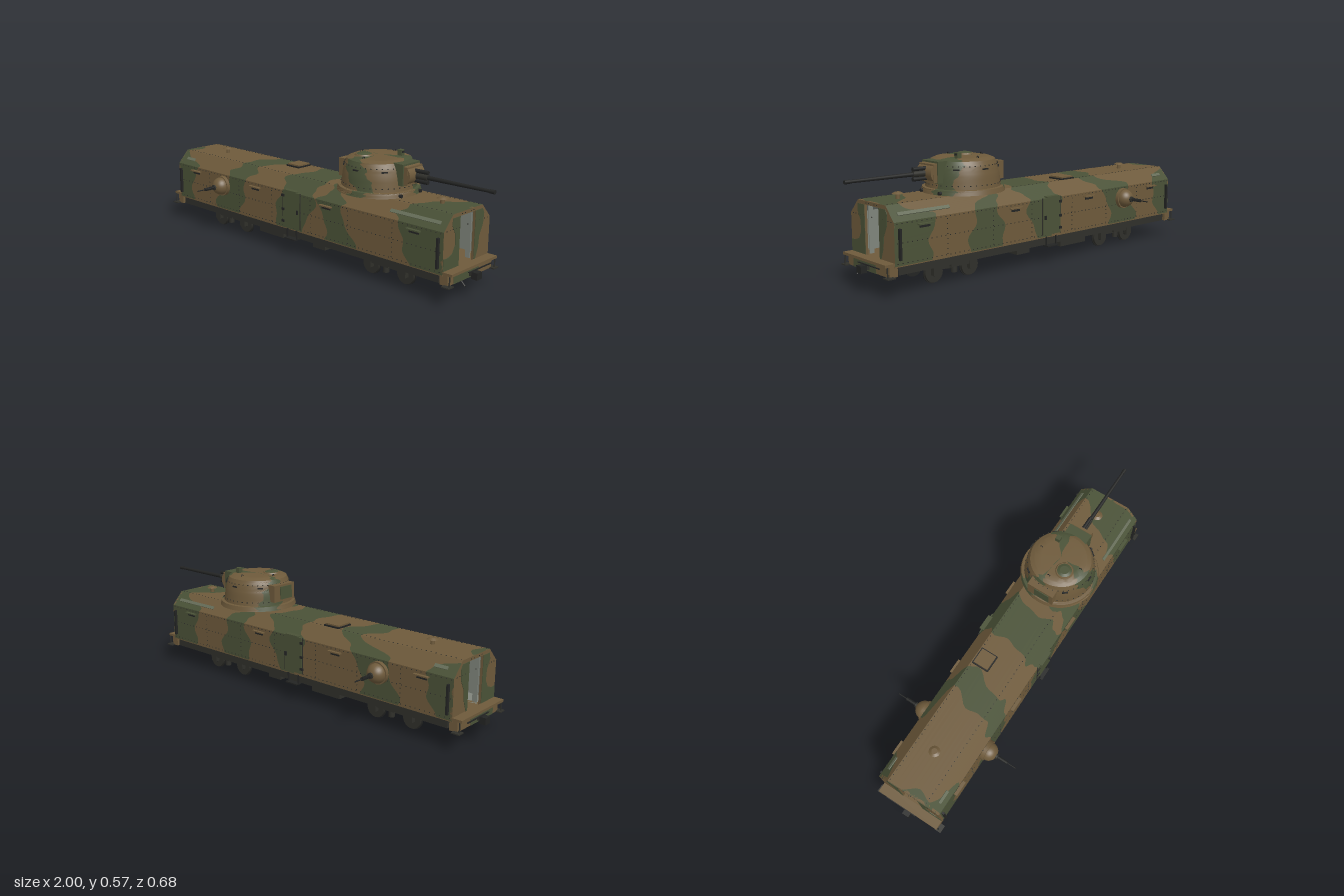
import * as THREE from 'three';
import { mergeGeometries, toCreasedNormals } from 'three/addons/utils/BufferGeometryUtils.js';

const paint = (name, color, side = THREE.FrontSide) => {
  const m = new THREE.MeshStandardMaterial({ color, side });
  m.name = name;
  return m;
};

export function createModel() {
  const brown = paint('camouflage brown', 0x6e5a3b, THREE.DoubleSide);
  const green = paint('camouflage green', 0x4a5237, THREE.DoubleSide);
  const dark = paint('dark iron', 0x2f2f2a);
  const black = paint('gun steel', 0x232423);
  const grey = paint('interior grey', 0x80857c, THREE.DoubleSide);
  const pale = paint('grille grey green', 0x666d58);

  const model = new THREE.Group();
  const add = (name, geo, mat, x = 0, y = 0, z = 0, parent = model) => {
    const m = new THREE.Mesh(geo, mat);
    m.name = name;
    m.position.set(x, y, z);
    parent.add(m);
    return m;
  };
  const box = (name, mat, x0, x1, y0, y1, z0, z1) =>
    add(name, new THREE.BoxGeometry(x1 - x0, y1 - y0, Math.abs(z1 - z0)), mat, (x0 + x1) / 2, (y0 + y1) / 2, (z0 + z1) / 2);
  const rod = (name, mat, axis, r0, r1, len, x, y, z, n = 16) => {
    const g = new THREE.CylinderGeometry(r1, r0, len, n);
    if (axis === 'x') g.rotateZ(-Math.PI / 2);
    if (axis === 'z') g.rotateX(Math.PI / 2);
    return add(name, g, mat, x, y, z);
  };

  // Two-colour skin: ribbons between wavy borders across a swept profile
  const along = (keys, t) => {
    const i = Math.min(Math.floor(t), keys.length - 2), f = t - i;
    return keys[i] + (keys[i + 1] - keys[i]) * f * f * (3 - 2 * f);
  };
  function camouflage(name, point, tMax, perSpan, uMin, uMax, borders, wobble, cuts, crease) {
    const edge = (k, t) => {
      if (k < 0) return uMin;
      if (k >= borders.length) return uMax;
      const v = along(borders[k], t);
      if (v <= uMin || v >= uMax) return v;
      return Math.min(uMax, Math.max(uMin, v + wobble * (Math.sin(t * 5.3 + k * 2) + 0.5 * Math.sin(t * 11 + k))));
    };
    const lists = [[], []];
    for (let k = 0; k <= borders.length; k++)
      for (let j = 0; j < tMax * perSpan; j++)
        for (let c = 0; c < cuts; c++) {
          const p = (dj, dc) => {
            const t = (j + dj) / perSpan, a = edge(k - 1, t), b = Math.max(a, edge(k, t));
            return point(t, a + (b - a) * (c + dc) / cuts);
          };
          const a = p(0, 0), b = p(0, 1), d = p(1, 1), e = p(1, 0);
          lists[k % 2].push(...a, ...b, ...d, ...a, ...d, ...e);
        }
    const geo = new THREE.BufferGeometry();
    geo.setAttribute('position', new THREE.Float32BufferAttribute([...lists[0], ...lists[1]], 3));
    geo.addGroup(0, lists[0].length / 3, 0);
    geo.addGroup(lists[0].length / 3, lists[1].length / 3, 1);
    add(name, toCreasedNormals(geo, crease), [brown, green]);
  }
  const onProfile = (prof, t) => {
    const i = Math.min(Math.floor(t), prof.length - 2), f = t - i;
    return [0, 1].map(n => prof[i][n] + (prof[i + 1][n] - prof[i][n]) * f);
  };

  // Hull: sides, chamfers and roof
  const X0 = -0.928, X1 = 0.874;
  const hull = [[0.135, 0.168], [0.322, 0.168], [0.387, 0.107], [0.387, -0.107], [0.322, -0.168], [0.135, -0.168]];
  camouflage('hull', (t, u) => { const [y, z] = onProfile(hull, t); return [u, y, z]; }, 5, 10, X0, X1, [
    [X0, X0, X0, X0, X0, X0], [-0.82, -0.77, -0.9, -0.92, -0.78, -0.84],
    [-0.6, -0.5, -0.46, -0.4, -0.6, -0.64], [-0.42, -0.36, -0.32, -0.27, -0.4, -0.46],
    [-0.15, -0.1, -0.1, -0.05, -0.08, -0.04], [0.06, 0.12, 0.12, 0.16, 0.12, 0.08],
    [0.2, 0.16, 0.2, 0.3, 0.3, 0.28], [0.37, 0.3, 0.26, 0.32, 0.45, 0.47],
    [0.7, 0.62, 0.64, 0.8, 0.66, 0.7], [X1, X1, X1, X1, X1, X1]], 0.017, 1, 0.2);
  const liner = new THREE.Shape(hull.map(([y, z]) => new THREE.Vector2(-z * 0.96, 0.14 + (y - 0.135) * 0.96)));
  const tunnel = new THREE.ExtrudeGeometry(liner, { depth: X1 - X0 - 0.05, bevelEnabled: false });
  tunnel.rotateY(Math.PI / 2);
  // keep only the lengthwise walls of the lining, group 1
  const walls = tunnel.groups[1];
  tunnel.setDrawRange(walls.start, walls.count);
  const wallGeo = new THREE.BufferGeometry();
  const all = tunnel.attributes.position.array;
  wallGeo.setAttribute('position', new THREE.Float32BufferAttribute(all.slice(walls.start * 3, (walls.start + walls.count) * 3), 3));
  wallGeo.computeVertexNormals();
  add('interiorLining', wallGeo, grey, X0 + 0.025);

  // End walls with open doorways, platforms and end beams
  const plate = (name, mat, pts, depth, x) => {
    const g = new THREE.ExtrudeGeometry(new THREE.Shape(pts.map(p => new THREE.Vector2(...p))), { depth, bevelEnabled: false });
    g.rotateY(Math.PI / 2);
    return add(name, g, mat, x);
  };
  for (const s of [1, -1]) {
    const x = s > 0 ? X1 : X0, inn = s > 0 ? x - 0.012 : x, out = s > 0 ? x : x - 0.002;
    plate('endWall', brown, [[-0.168, 0.138], [-0.056, 0.138], [-0.056, 0.37], [0.056, 0.37], [0.056, 0.138], [0.168, 0.138],
      [0.168, 0.322], [0.107, 0.387], [-0.107, 0.387], [-0.168, 0.322]], 0.012, inn);
    plate('endWallGreenPatch', green, [[-0.166, 0.15], [-0.056, 0.15], [-0.056, 0.37], [-0.107, 0.37], [-0.112, 0.34], [-0.09, 0.3],
      [-0.086, 0.25], [-0.105, 0.215], [-0.14, 0.203], [-0.166, 0.205]], 0.002, out);
    plate('endWallGreenPatch', green, [[0.056, 0.15], [0.066, 0.15], [0.085, 0.2], [0.09, 0.25], [0.115, 0.3], [0.12, 0.35],
      [0.107, 0.37], [0.056, 0.37]], 0.002, out);
    for (const z of [-0.056, 0.056]) box('doorFrame', grey, x - s * 0.03 - 0.012, x - s * 0.03 + 0.012, 0.15, 0.37, z - 0.002, z + 0.002);
    const e = s > 0 ? 0.922 : -0.976, a = Math.min(e, x), b = Math.max(e, x);
    box('endPlatform', brown, a, b, 0.138, 0.15, -0.168, 0.168);
    box('endBeam', brown, x + s * 0.004 - 0.02, x + s * 0.004 + 0.02, 0.09, 0.138, -0.163, 0.163);
    box('endBeamGreenPatch', green, x + s * 0.024 - 0.002, x + s * 0.024 + 0.002, 0.09, 0.138, -0.06, 0.12);
    box('uncouplingBar', black, e - 0.003, e + 0.003, 0.125, 0.129, -0.125, 0.045);
    const c = s > 0 ? 0.932 : -0.985;
    box('couplerShank', dark, Math.min(x, c), Math.max(x, c), 0.098, 0.115, -0.009, 0.009);
    box('couplerHead', black, c - 0.015, c + 0.015, 0.09, 0.122, -0.018, 0.018);
    rod('brakeHose', black, 'y', 0.004, 0.004, 0.045, e - s * 0.02, 0.085, 0.062, 8).rotation.z = s * 0.8;
    for (const z of [-0.168, 0.168]) {
      rod('stepPost', dark, 'y', 0.003, 0.003, 0.048, e - s * 0.01, 0.114, z, 6);
      box('stepTread', dark, e - s * 0.02 - 0.02, e - s * 0.02 + 0.02, 0.089, 0.094, z - 0.018, z + 0.018);
    }
  }

  // Floor and underframe
  box('floor', brown, X0, X1, 0.13, 0.14, -0.166, 0.166);
  for (const z of [-0.15, -0.04, 0.04, 0.15]) box('longBeam', dark, -0.9, 0.85, 0.093, 0.13, z - 0.008, z + 0.008);
  for (let i = 0; i < 12; i++) box('crossBeam', dark, -0.86 + i * 0.15, -0.845 + i * 0.15, 0.1, 0.13, -0.15, 0.15);
  for (const s of [1, -1]) {
    box('equipmentBox', dark, -0.295, -0.12, 0.062, 0.1, s * 0.07, s * 0.14);
    box('batteryBox', dark, 0.09, 0.17, 0.066, 0.1, s * 0.08, s * 0.14);
    box('doorStep', black, -0.062, 0.01, 0.086, 0.092, s * 0.15, s * 0.186);
    for (const x of [-0.058, 0.006]) box('stepBracket', black, x - 0.003, x + 0.003, 0.09, 0.135, s * 0.165, s * 0.172);
  }

  // Bogies
  for (const c of [-0.569, 0.516]) {
    box('bogieBolster', dark, c - 0.03, c + 0.03, 0.07, 0.095, -0.122, 0.122);
    for (const s of [1, -1]) {
      box('bogieSideFrame', dark, c - 0.12, c + 0.12, 0.064, 0.082, s * 0.092, s * 0.108);
      rod('bogieSpring', dark, 'y', 0.015, 0.015, 0.045, c, 0.062, s * 0.1);
    }
    for (const x of [c - 0.101, c + 0.101]) {
      rod('axle', dark, 'z', 0.007, 0.007, 0.21, x, 0.052, 0);
      for (const s of [1, -1]) {
        rod('wheelFlange', black, 'z', 0.052, 0.052, 0.004, x, 0.052, s * 0.075, 32);
        rod('wheelTread', dark, 'z', 0.047, 0.047, 0.012, x, 0.052, s * 0.082, 32);
        rod('wheelHub', black, 'z', 0.018, 0.018, 0.005, x, 0.052, s * 0.09);
        box('axleBox', dark, x - 0.019, x + 0.019, 0.042, 0.08, s * 0.09, s * 0.112);
      }
    }
  }

  // Side fittings: doors, firing ports, ball mounts and grilles
  for (const s of [1, -1]) {
    box('sideDoor', green, -0.085, 0.03, 0.145, 0.325, s * 0.168, s * 0.173);
    for (const x of [-0.087, 0.032]) box('doorEdge', dark, x - 0.002, x + 0.002, 0.145, 0.325, s * 0.166, s * 0.171);
    for (const y of [0.17, 0.23, 0.3]) box('doorHinge', black, -0.092, -0.074, y - 0.006, y + 0.006, s * 0.17, s * 0.177);
    box('doorHandle', black, 0.012, 0.022, 0.22, 0.24, s * 0.17, s * 0.179);
    box('doorHood', green, -0.068, 0.013, 0.327, 0.333, s * 0.155, s * 0.182);
    for (const x of [-0.77, -0.29, 0.205, 0.72]) {
      box('portHood', x === 0.72 ? green : brown, x - 0.037, x + 0.037, 0.298, 0.304, s * 0.166, s * 0.184);
      box('firingPort', black, x - 0.026, x + 0.026, 0.285, 0.297, s * 0.166, s * 0.172);
    }
    for (const x of [-0.905, 0.85]) box('gripRail', black, x - 0.005, x + 0.005, 0.16, 0.295, s * 0.168, s * 0.181);
    for (const [x, w] of [[-0.848, 0.066], [0.705, 0.27]]) {
      const g = add('chamferGrille', new THREE.BoxGeometry(w, 0.016, 0.008), pale, x, 0.35, s * 0.142);
      g.rotation.x = -s * 0.75;
    }
    const bx = -0.545, by = 0.262;
    rod('ballMountRing', brown, 'z', 0.052, 0.052, 0.02, bx, by, s * 0.176, 32);
    const ball = add('ballMount', new THREE.SphereGeometry(0.046, 28, 10, 0, Math.PI * 2, 0, Math.PI / 2), brown, bx, by, s * 0.185);
    ball.rotation.x = s * Math.PI / 2;
    rod('machineGunCollar', dark, 'z', 0.014, 0.014, 0.014, bx, by, s * 0.23);
    rod('machineGunJacket', black, 'z', 0.006, 0.006, 0.06, bx, by, s * 0.262, 12);
    for (let i = 0; i < 9; i++) rod('coolingFin', black, 'z', 0.0085, 0.0085, 0.003, bx, by, s * (0.242 + i * 0.006), 12);
    rod('machineGunBarrel', black, 'z', 0.003, 0.003, 0.05, bx, by, s * 0.313, 10);
  }

  // Rivet rows
  const rivets = [];
  const rivet = (x, y, z) => rivets.push(new THREE.BoxGeometry(0.004, 0.004, 0.004).translate(x, y, z));
  for (const s of [1, -1]) {
    for (let i = 0; i < 72; i++) {
      const x = X0 + 0.012 + i * 0.025;
      for (const y of [0.145, 0.232, 0.315]) rivet(x, y, s * 0.168);
      if (Math.abs(x - 0.38) > 0.2) rivet(x, 0.387, s * 0.1);
    }
    for (const x of [-0.66, -0.42, -0.17, 0.1, 0.34, 0.6]) for (let j = 0; j < 8; j++) rivet(x, 0.15 + j * 0.022, s * 0.168);
  }
  for (const x of [X0, X1]) for (let i = -7; i <= 7; i++) rivet(x, i % 8 && Math.abs(i) < 3 ? 0.378 : 0.322, i * 0.021);
  for (let i = 0; i < 40; i++) {
    const a = i * Math.PI / 20;
    for (const [r, y] of [[0.174, 0.428], [0.161, 0.514]]) rivet(0.38 + r * Math.sin(a), y, r * Math.cos(a));
  }
  add('rivets', mergeGeometries(rivets), dark);

  // Roof hatch and ventilators
  box('roofHatchFrame', black, -0.252, -0.162, 0.385, 0.394, -0.1, -0.01);
  box('roofHatchLid', brown, -0.246, -0.168, 0.39, 0.401, -0.094, -0.016);
  for (const x of [-0.705, 0.74]) {
    rod('ventStem', brown, 'y', 0.01, 0.01, 0.03, x, 0.398, 0);
    rod('ventCap', brown, 'y', 0.027, 0.014, 0.008, x, 0.413, 0, 24);
  }

  // Turret
  const tx = 0.38, turret = [[0.388, 0.195], [0.41, 0.189], [0.412, 0.175], [0.47, 0.168], [0.51, 0.159], [0.535, 0.148], [0.545, 0.125], [0.547, 0.001]];
  camouflage('turretShell', (t, u) => {
    const [y, r] = onProfile(turret, t);
    return [tx + r * Math.sin(u), y, r * Math.cos(u)];
  }, 7, 4, -Math.PI, Math.PI, [
    [-2.4, -2.4, -2.3, -2.2, -2, -1.9, -1.8, -1.8], [-1.8, -1.8, -1.6, -1.5, -1.5, -1.6, -1.7, -1.75],
    [-0.1, 0, 0.1, -0.3, -0.5, -0.5, -0.4, 0], [0.3, 0.4, 0.6, 0.4, 0.3, 0.1, 0, 0.02],
    [1.7, 1.7, 1.75, 1.7, 1.6, 1.6, 1.7, 2], [2.3, 2.3, 2.2, 2.3, 2.5, 2.5, 2.3, 2.1]], 0.06, 10, 0.45);
  box('turretRearBox', brown, 0.192, 0.26, 0.43, 0.515, -0.07, 0.07);
  box('rearBoxPanel', green, 0.188, 0.192, 0.44, 0.505, -0.03, 0.05);
  box('mantletFrame', green, 0.48, 0.566, 0.44, 0.538, -0.06, 0.06);
  const shield = new THREE.CylinderGeometry(0.045, 0.045, 0.106, 24, 1, false, 0, Math.PI);
  add('mantlet', shield.rotateX(Math.PI / 2).rotateZ(0), brown, 0.555, 0.486, 0);
  box('mantletBody', brown, 0.5, 0.585, 0.445, 0.527, -0.054, 0.054);
  rod('gunSleeve', dark, 'x', 0.015, 0.013, 0.09, 0.615, 0.485, 0);
  rod('gunBarrel', black, 'x', 0.01, 0.007, 0.37, 0.813, 0.485, 0);
  rod('gunMuzzle', black, 'x', 0.009, 0.009, 0.025, 0.9875, 0.485, 0);
  for (const y of [0.507, 0.462]) rod('recoilCylinder', black, 'x', 0.009, 0.009, 0.09, 0.615, y, 0);
  rod('commanderHatchRing', brown, 'y', 0.044, 0.04, 0.006, 0.33, 0.549, 0.05, 32);
  rod('commanderHatchLid', green, 'y', 0.038, 0.022, 0.006, 0.33, 0.554, 0.05, 32);
  box('periscope', green, 0.443, 0.467, 0.54, 0.572, -0.073, -0.05);
  box('periscopeGlass', black, 0.467, 0.469, 0.558, 0.567, -0.07, -0.053);
  for (const [x, z] of [[0.38, 0.11], [0.38, -0.11], [0.27, 0]])
    add('liftingEye', new THREE.TorusGeometry(0.006, 0.002, 6, 14), black, x, 0.547, z).rotation.y = Math.PI / 2;
  for (const a of [0.0, 0.85, 2.3, 3.14, 4.0, 5.4]) {
    const slit = add('visionSlit', new THREE.BoxGeometry(0.028, 0.006, 0.008), black, tx + 0.163 * Math.sin(a), 0.5, 0.163 * Math.cos(a));
    slit.rotation.y = a;
  }
  for (const z of [-0.068, 0.068]) rod('hullFrontLamp', black, 'x', 0.008, 0.008, 0.014, 0.564, 0.397, z);

  // Turret ladder inside the hull
  for (const z of [-0.033, -0.052]) box('ladderRail', grey, 0.6, 0.606, 0.14, 0.375, z - 0.002, z + 0.002);
  for (let i = 0; i < 7; i++) box('ladderRung', grey, 0.601, 0.605, 0.162 + i * 0.032, 0.166 + i * 0.032, -0.052, -0.033);
  return model;
}
